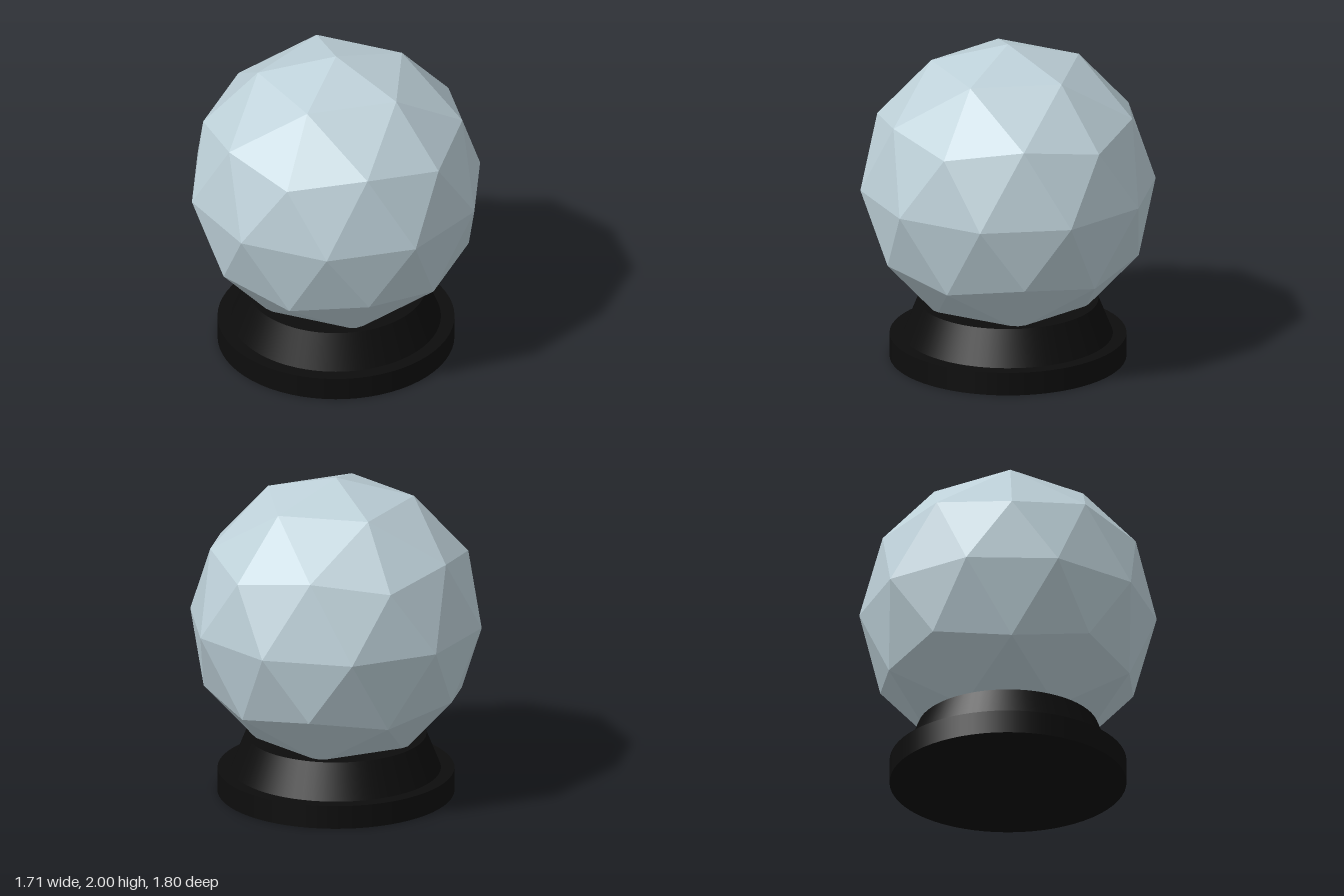
import * as THREE from 'three';

export function createModel() {
  const model = new THREE.Group();
  const glass = new THREE.MeshStandardMaterial({ color: 0xbdd0d8 });
  glass.name = 'pale blue glass';
  glass.flatShading = true;
  const black = new THREE.MeshStandardMaterial({ color: 0x0d0d0d });
  black.name = 'black base';

  const add = (name, geometry, material, y) => {
    const mesh = new THREE.Mesh(geometry, material);
    mesh.name = name;
    mesh.position.y = y;
    model.add(mesh);
  };

  // Faceted globe, turned so that one icosahedron corner points straight up
  const globe = new THREE.IcosahedronGeometry(0.9, 1);
  globe.rotateZ(-Math.atan(2 / (1 + Math.sqrt(5))));
  add('globe', globe, glass, 1.1);

  // Round base: flat plinth with a tapered collar that holds the globe
  const tier = (name, topRadius, bottomRadius, y0, y1) =>
    add(name, new THREE.CylinderGeometry(topRadius, bottomRadius, y1 - y0, 64), black, (y0 + y1) / 2);
  tier('plinth', 0.717, 0.717, 0, 0.145);
  tier('collar', 0.547, 0.635, 0.145, 0.365);

  return model;
}
